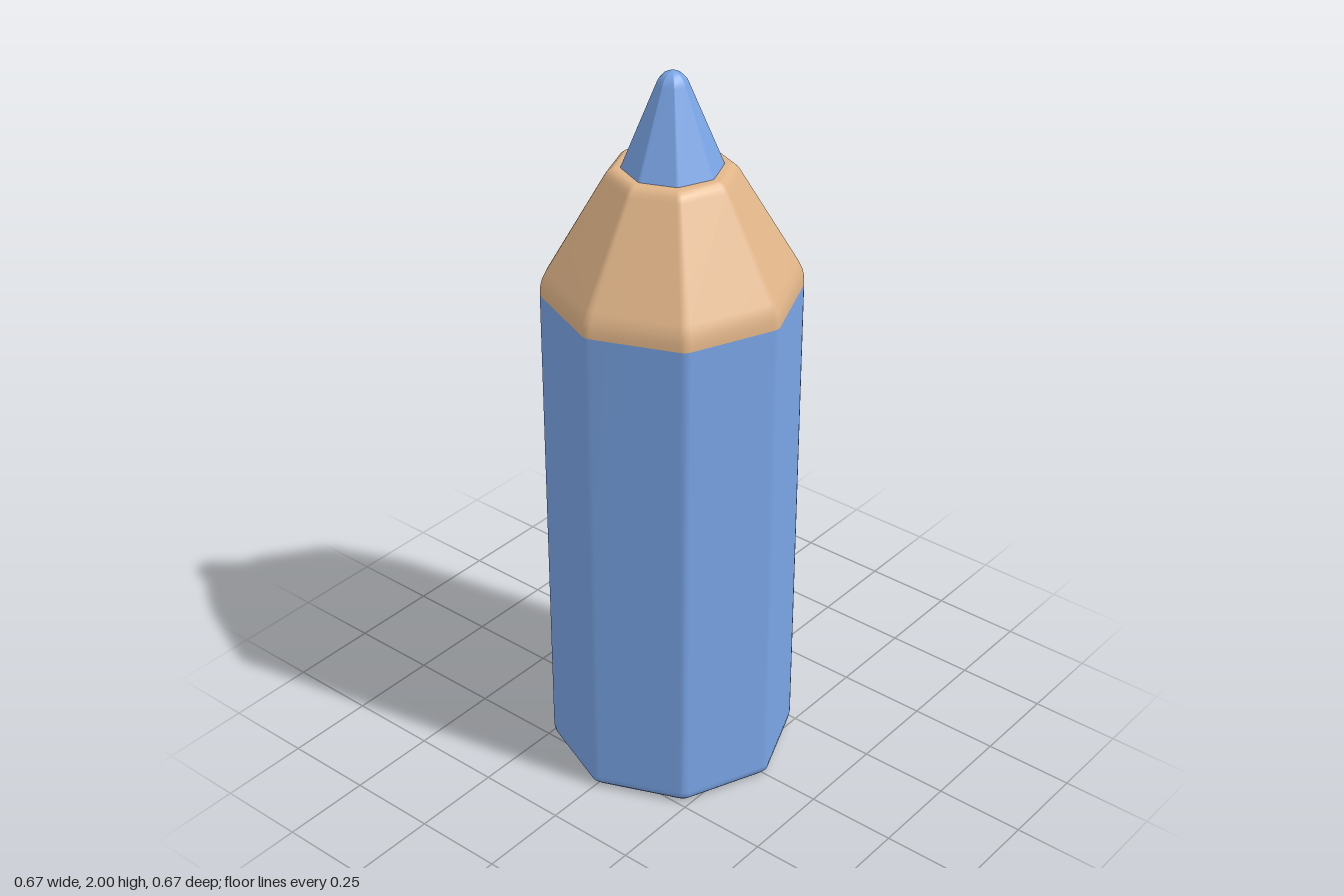
import * as THREE from 'three';

// Directions and relative radii around an octagon with slightly rounded corners
const SECTION = [];
const DEG = Math.PI / 180;
for (let k = 0; k < 8; k++) {
  for (const d of [-2.2, 0, 2.2]) {
    const edge = Math.cos(22.5 * DEG) / Math.cos((22.5 - Math.abs(d)) * DEG);
    const r = d === 0 ? 1 : edge / 0.993;
    const a = (k * 45 + d) * DEG;
    SECTION.push([Math.sin(a) * r, Math.cos(a) * r]);
  }
}

// Sweeps a [radius, height] profile, bottom to top, around the octagon
function octagonLathe(name, profile, color) {
  const n = SECTION.length, positions = [], index = [];
  profile.forEach(([r, y], i) => {
    SECTION.forEach(([x, z], j) => {
      positions.push(x * r, y, z * r);
      if (i === profile.length - 1) return;
      const a = i * n + j, b = i * n + (j + 1) % n;
      if (r > 0) index.push(a, b, b + n);
      if (profile[i + 1][0] > 0) index.push(a, b + n, a + n);
    });
  });
  const geometry = new THREE.BufferGeometry();
  geometry.setAttribute('position', new THREE.Float32BufferAttribute(positions, 3));
  geometry.setIndex(index);
  geometry.computeVertexNormals();
  const mesh = new THREE.Mesh(geometry, new THREE.MeshStandardMaterial({ color }));
  mesh.name = name;
  return mesh;
}

export function createModel() {
  const group = new THREE.Group();
  group.name = 'pencil';
  const blue = 0x7aa5e6, wood = 0xe0b488;

  // Painted shaft with a softened bottom edge
  group.add(octagonLathe('shaft', [
    [0, 0], [0.305, 0], [0.322, 0.004], [0.333, 0.015], [0.337, 0.035], [0.337, 1.41],
  ], blue));

  // Sharpened wood cone, rounded at the shoulder and at the rim
  group.add(octagonLathe('woodCone', [
    [0.337, 1.41], [0.336, 1.43], [0.331, 1.452], [0.32, 1.475],
    [0.172, 1.727], [0.164, 1.74], [0.154, 1.749], [0.143, 1.752], [0.11, 1.752],
  ], wood));

  // Coloured lead with a blunt rounded point
  group.add(octagonLathe('lead', [
    [0.13, 1.75], [0.041, 1.968], [0.035, 1.981], [0.026, 1.991], [0.014, 1.998], [0, 2],
  ], blue));

  return group;
}
